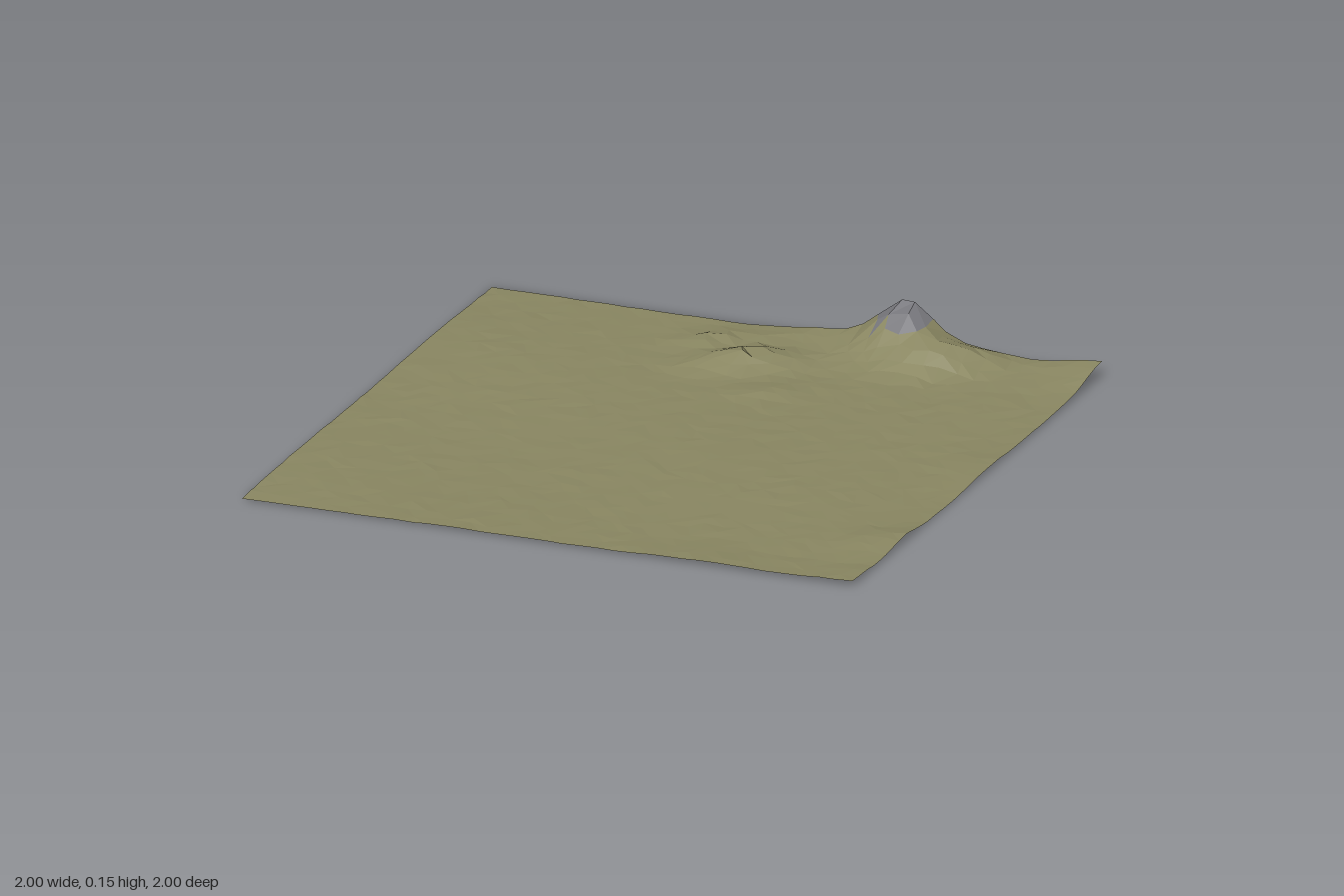
import * as THREE from 'three';

// Hills: [x, z, height, length, width, angle], lengths as gaussian radii
const HILLS = [
  [0.36, -1.0, 0.132, 0.085, 0.1, 0],        // main peak on the back edge
  [0.42, -0.98, 0.02, 0.2, 0.12, 0],         // its skirt
  [0.54, -0.87, 0.055, 0.11, 0.06, 0.5],     // shoulder ridge
  [-0.04, -0.69, 0.05, 0.11, 0.06, 0.5],     // middle ridge
  [-0.19, -0.83, 0.022, 0.1, 0.05, 0.5],     // left ridge
  [0.12, -0.47, 0.012, 0.09, 0.05, 0.5],     // low front ridge
  [0.08, -0.98, 0.016, 0.12, 0.08, 0.4],
  [1.0, -1.0, 0.038, 0.12, 0.12, 0],         // raised back corner
  [1.0, 0.58, 0.018, 0.14, 0.07, 0.5],       // swell on the side edge
  [1.0, -0.1, 0.012, 0.12, 0.12, 0],
  [0.5, 1.0, 0.012, 0.18, 0.1, 0],
  [1.0, 1.0, 0.014, 0.2, 0.12, 0.4],
  [-1.0, 0.5, 0.006, 0.25, 0.5, 0],
  [-0.8, -0.5, 0.006, 0.25, 0.25, 0],
];

// Repeatable pseudo-random value from 0 to 1 for a grid point
function hash(i, j) {
  const s = Math.sin(i * 127.1 + j * 311.7) * 43758.5453;
  return s - Math.floor(s);
}

function heightAt(x, z) {
  let y = 0.007 + 0.002 * Math.sin(4 * x + 2 * z) + 0.002 * Math.cos(5 * z - 3 * x);
  for (const [cx, cz, h, a, b, angle] of HILLS) {
    const dx = x - cx, dz = z - cz, c = Math.cos(angle), s = Math.sin(angle);
    const u = (dx * c - dz * s) / a, v = (dx * s + dz * c) / b;
    y += h * Math.exp(-0.5 * (u * u + v * v));
  }
  return y;
}

export function createModel() {
  const group = new THREE.Group();
  group.name = 'terrain';
  const N = 36, step = 2 / N;

  // Slightly irregular grid with straight outer edges
  const points = [];
  for (let j = 0; j <= N; j++) {
    for (let i = 0; i <= N; i++) {
      const edgeX = i === 0 || i === N, edgeZ = j === 0 || j === N;
      const x = -1 + step * (i + (edgeX ? 0 : (hash(i, j) - 0.5) * 0.5));
      const z = -1 + step * (j + (edgeZ ? 0 : (hash(j + 50, i) - 0.5) * 0.5));
      const y = heightAt(x, z) + (hash(i + 9, j + 77) - 0.5) * 0.003;
      points.push(new THREE.Vector3(x, y, z));
    }
  }
  const low = Math.min(...points.map((p) => p.y));
  points.forEach((p) => { p.y -= low; });

  // Sort the triangles into grassy ground and bare rock near the summit
  const ground = [], rock = [];
  const addFace = (a, b, c) => {
    const mean = (points[a].y + points[b].y + points[c].y) / 3;
    (mean > 0.095 ? rock : ground).push(a, b, c);
  };
  for (let j = 0; j < N; j++) {
    for (let i = 0; i < N; i++) {
      const a = j * (N + 1) + i, b = a + 1, c = a + N + 1, d = c + 1;
      if (hash(i + 31, j + 13) < 0.5) {
        addFace(a, c, b);
        addFace(b, c, d);
      } else {
        addFace(a, c, d);
        addFace(a, d, b);
      }
    }
  }

  const addSurface = (name, index, color) => {
    const geometry = new THREE.BufferGeometry().setFromPoints(points);
    geometry.setIndex(index);
    const flat = geometry.toNonIndexed();
    flat.computeVertexNormals();
    const material = new THREE.MeshStandardMaterial({ color, flatShading: true, side: THREE.DoubleSide });
    const mesh = new THREE.Mesh(flat, material);
    mesh.name = name;
    group.add(mesh);
  };
  addSurface('ground', ground, 0x8a8762);
  addSurface('rockyPeak', rock, 0x77777c);
  return group;
}
